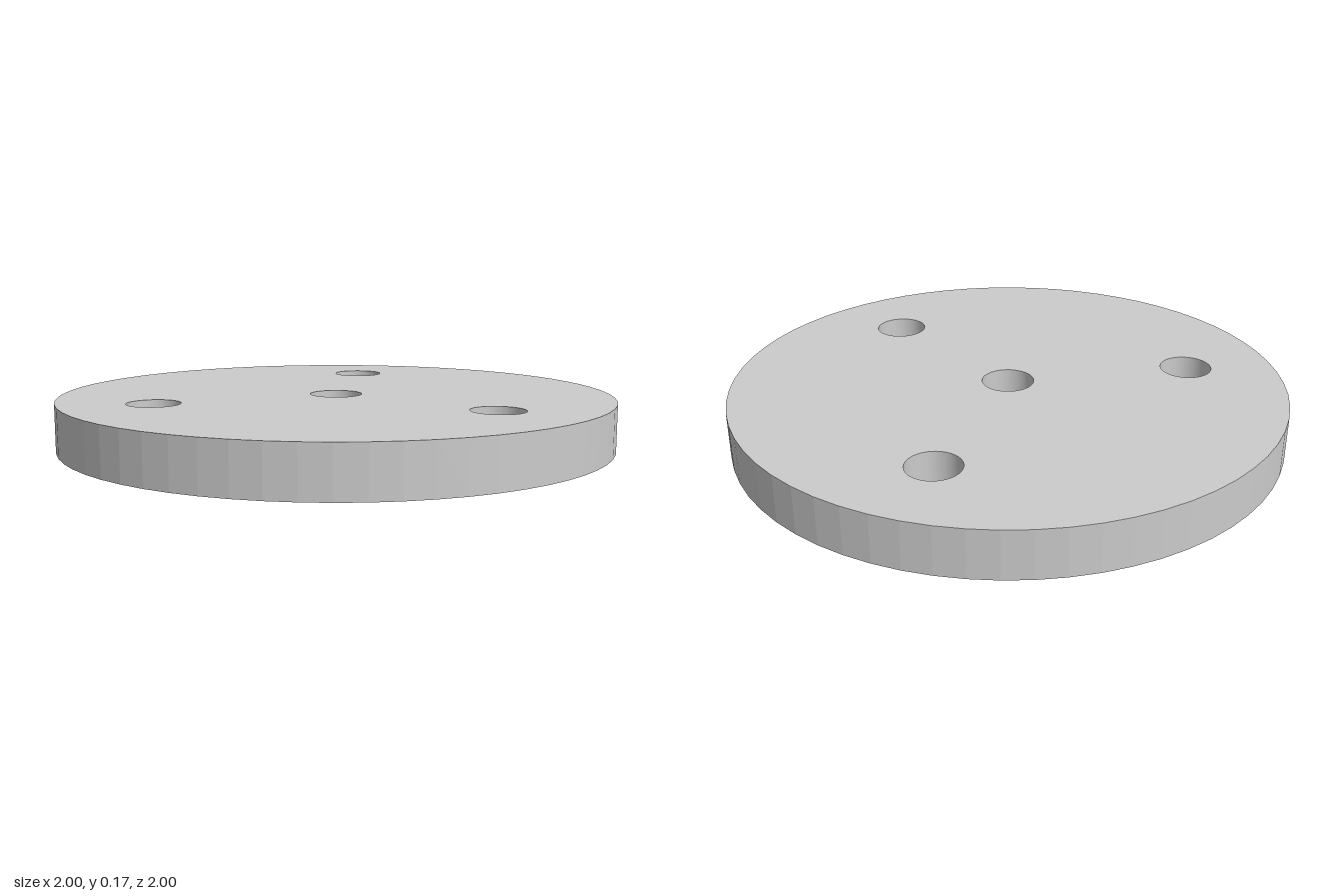
import * as THREE from 'three';

const DISC_RADIUS = 1;
const THICKNESS = 0.17;
const HOLE_RADIUS = 0.094;
const BOLT_CIRCLE = 0.675;
const BOLT_COUNT = 3;

export function createModel() {
  const group = new THREE.Group();
  group.name = 'drilledDisc';

  // Disc outline
  const outline = new THREE.Shape();
  outline.absarc(0, 0, DISC_RADIUS, 0, Math.PI * 2, false);

  const drill = (x, y) => {
    const hole = new THREE.Path();
    hole.absarc(x, y, HOLE_RADIUS, 0, Math.PI * 2, true);
    outline.holes.push(hole);
  };

  // Centre bore and evenly spaced bolt holes, the first one on -x
  drill(0, 0);
  for (let i = 0; i < BOLT_COUNT; i++) {
    const angle = Math.PI + (i * Math.PI * 2) / BOLT_COUNT;
    drill(BOLT_CIRCLE * Math.cos(angle), BOLT_CIRCLE * Math.sin(angle));
  }

  // Faceted plate, laid flat on the ground
  const geometry = new THREE.ExtrudeGeometry(outline, {
    depth: THICKNESS,
    bevelEnabled: false,
    curveSegments: 32,
  });
  geometry.rotateX(-Math.PI / 2);

  const material = new THREE.MeshStandardMaterial({ color: 0xcccccc, flatShading: true });
  const disc = new THREE.Mesh(geometry, material);
  disc.name = 'disc';
  group.add(disc);
  return group;
}
